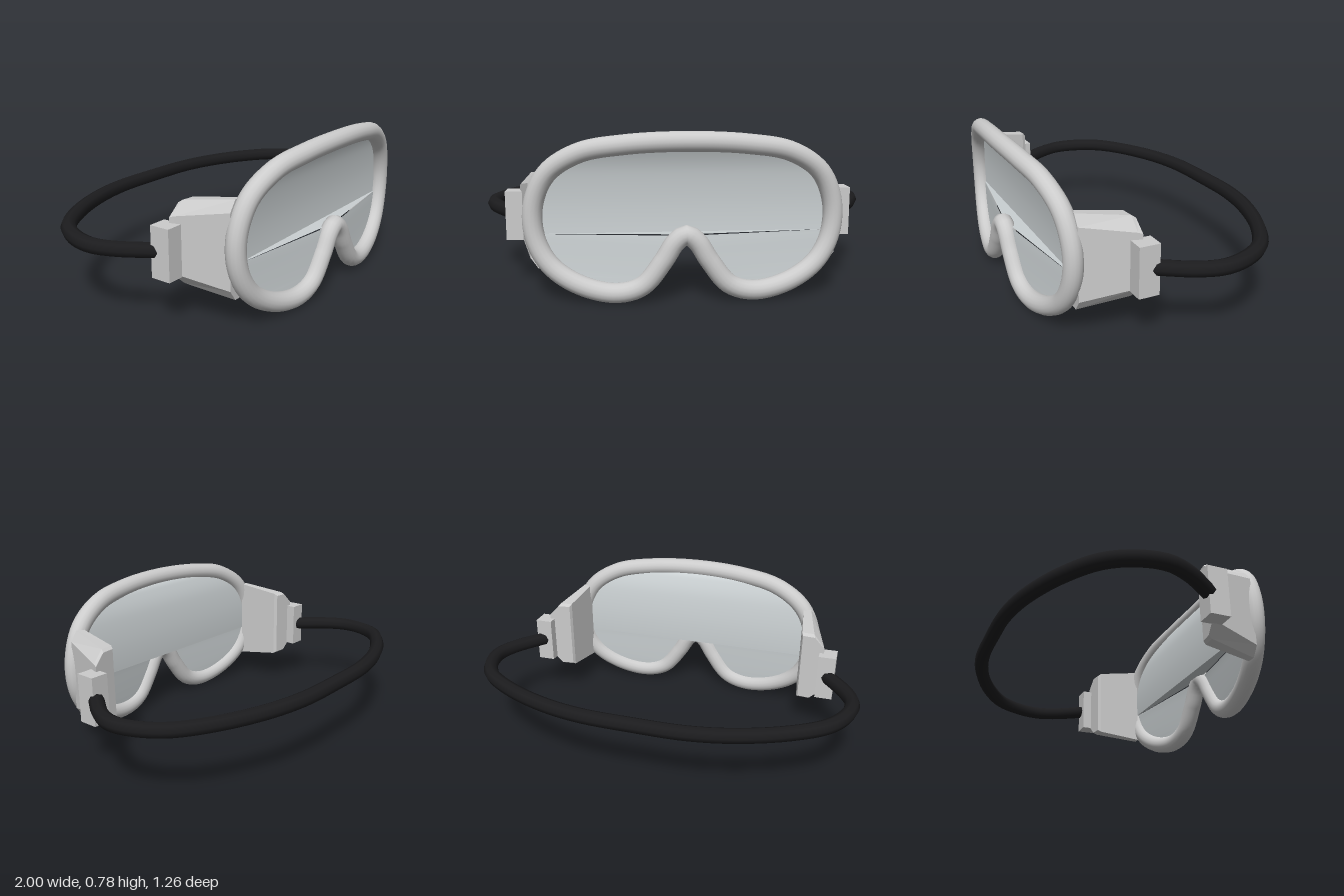
import * as THREE from 'three';

const grey = new THREE.MeshStandardMaterial({ color: 0xcccccc });
const black = new THREE.MeshStandardMaterial({ color: 0x1c1c1e });
const lensMaterial = new THREE.MeshStandardMaterial({ color: 0xccd2d4, side: THREE.DoubleSide });

const V = (x, y, z) => new THREE.Vector3(x, y, z);
const mirrored = p => V(-p.x, p.y, p.z);
const bow = x => 0.583 - 0.18 * x * x; // the face curves back towards the temples

// Left half of the rim centreline, from the brow round to the nose bridge
const rimHalf = [
  [0, 0.742], [0.28, 0.728], [0.48, 0.69], [0.625, 0.595], [0.69, 0.45], [0.685, 0.3],
  [0.62, 0.175], [0.49, 0.087], [0.32, 0.05], [0.2, 0.084], [0.105, 0.2], [0.048, 0.289], [0, 0.32],
].map(([x, y]) => V(x, y, bow(x)));

// Left half of the strap, from the buckle to the back of the head
const strapHalf = [
  [0.805, 0.205], [0.845, 0.15], [0.925, 0.03], [0.963, -0.08], [0.945, -0.2], [0.87, -0.33],
  [0.7, -0.45], [0.47, -0.545], [0.26, -0.588], [0, -0.595],
].map(([x, z]) => V(x, 0.355 + (0.2 - z) * 0.03, z));

function add(parent, name, geometry, material = grey) {
  const mesh = new THREE.Mesh(geometry, material);
  mesh.name = name;
  parent.add(mesh);
  return mesh;
}

// Surface from pairs of points joined by straight chords
function ruled(pairs) {
  const index = [];
  for (let i = 0; i < pairs.length - 1; i++) {
    const a = i * 2;
    index.push(a, a + 2, a + 1, a + 1, a + 2, a + 3);
  }
  const geometry = new THREE.BufferGeometry().setFromPoints(pairs.flat());
  geometry.setIndex(index);
  geometry.computeVertexNormals();
  return geometry;
}

// Solid through equal cross-section rings, with flat faces
function loft(rings) {
  const n = rings[0].length, corners = [];
  for (let r = 0; r < rings.length - 1; r++) {
    for (let i = 0; i < n; i++) {
      const j = (i + 1) % n, a = rings[r], b = rings[r + 1];
      corners.push(a[i], a[j], b[i], a[j], b[j], b[i]);
    }
  }
  const first = rings[0], last = rings[rings.length - 1];
  for (let i = 1; i < n - 1; i++) {
    corners.push(first[0], first[i + 1], first[i], last[0], last[i], last[i + 1]);
  }
  const geometry = new THREE.BufferGeometry().setFromPoints(corners);
  geometry.computeVertexNormals();
  return geometry;
}

// Pad cross-section: chamfered towards the outside of the head
function padRing(inner, outer, bottom, top, chamferX, chamferY, zInner, zOuter) {
  const at = (x, y) => V(x, y, THREE.MathUtils.mapLinear(x, inner, outer, zInner, zOuter));
  return [
    at(inner, bottom), at(inner, top), at(outer - chamferX, top),
    at(outer, top - chamferY), at(outer, bottom + chamferY), at(outer - chamferX, bottom),
  ];
}

function makeLens(curve) {
  const lens = new THREE.Group();
  lens.name = 'lens';
  // Sample the left half of the rim, slightly behind its centreline
  const N = 120, pts = [];
  for (let i = 0; i <= N; i++) {
    const p = curve.getPoint(i / N / 2);
    pts.push(V(Math.max(p.x, 0), p.y, p.z - 0.012));
  }
  const nose = pts[N];
  const side = pts.findIndex(p => p.y < nose.y + 0.008);
  let low = side;
  while (pts[low + 1].y < pts[low].y) low++;

  // Upper pane spans the full width
  add(lens, 'upperLens', ruled(pts.slice(0, side + 1).map(p => [p, mirrored(p)])), lensMaterial);

  // Ledge from the crease to the nose bridge
  const ledge = new THREE.BufferGeometry().setFromPoints([pts[side], nose, mirrored(pts[side])]);
  ledge.computeVertexNormals();
  add(lens, 'lensLedge', ledge, lensMaterial);

  // Lower lobes either side of the nose, joined along level chords
  const lobe = [];
  let k = N;
  for (let i = side; i <= low; i++) {
    while (k > low && pts[k].y > pts[i].y) k--;
    lobe.push([pts[i], pts[k]]);
  }
  add(lens, 'leftLowerLens', ruled(lobe), lensMaterial);
  add(lens, 'rightLowerLens', ruled(lobe.map(pair => pair.map(mirrored).reverse())), lensMaterial);
  return lens;
}

export function createModel() {
  const model = new THREE.Group();
  model.name = 'goggles';

  // Rim: a closed tube round the whole face opening
  const rimPoints = [...rimHalf, ...rimHalf.slice(1, -1).reverse().map(mirrored)];
  const rimCurve = new THREE.CatmullRomCurve3(rimPoints, true, 'centripetal');
  add(model, 'rim', new THREE.TubeGeometry(rimCurve, 160, 0.046, 16, true));
  model.add(makeLens(rimCurve));

  // Side pads and buckles
  const rings = [
    padRing(0.636, 0.712, 0.15, 0.6, 0.035, 0.05, 0.48, 0.48),
    padRing(0.66, 0.78, 0.183, 0.567, 0.055, 0.06, 0.245, 0.235),
    padRing(0.668, 0.786, 0.195, 0.555, 0.055, 0.055, 0.228, 0.214),
  ];
  for (const [name, s] of [['left', 1], ['right', -1]]) {
    const sideRings = s > 0 ? rings : rings.map(ring => ring.map(mirrored).reverse());
    add(model, name + 'Pad', loft(sideRings));
    add(model, name + 'Buckle', new THREE.BoxGeometry(0.09, 0.24, 0.1)).position.set(s * 0.808, 0.355, 0.216);
  }

  // Head strap with closed ends
  const strapPoints = [...strapHalf, ...strapHalf.slice(0, -1).reverse().map(mirrored)];
  const strapCurve = new THREE.CatmullRomCurve3(strapPoints, false, 'centripetal');
  add(model, 'strap', new THREE.TubeGeometry(strapCurve, 80, 0.037, 8, false), black);
  for (const s of [1, -1]) {
    const end = add(model, 'strapEnd', new THREE.SphereGeometry(0.037, 8, 6), black);
    end.position.set(s * strapHalf[0].x, strapHalf[0].y, strapHalf[0].z);
  }
  return model;
}
